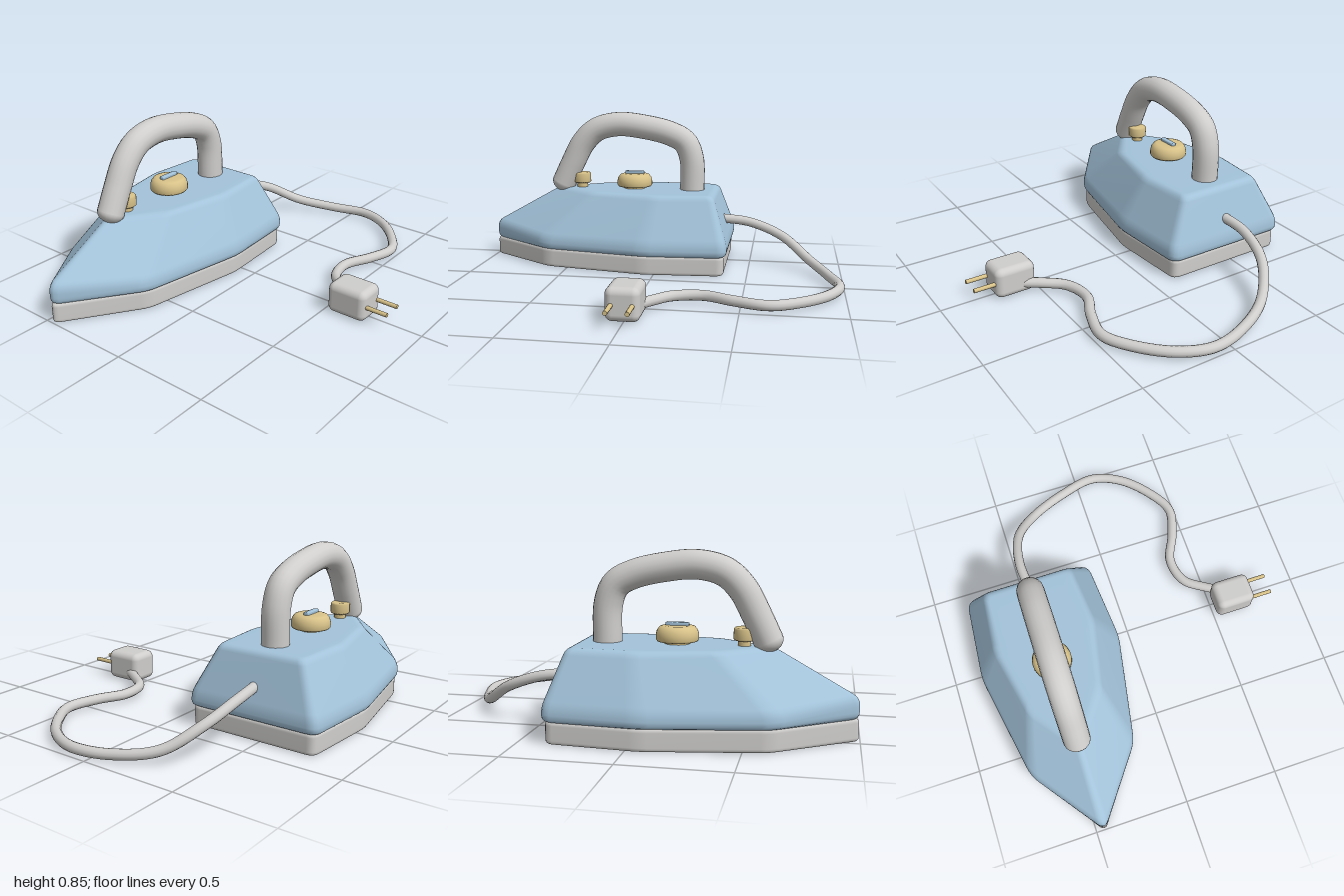
import * as THREE from 'three';
import { RoundedBoxGeometry } from 'three/addons/geometries/RoundedBoxGeometry.js';

const V = (x, y, z) => new THREE.Vector3(x, y, z);
const CX = -0.455; // centre line of the iron

const mat = (name, color) => {
  const m = new THREE.MeshStandardMaterial({ color });
  m.name = name;
  return m;
};

// Replace each corner of a 3D polyline by a short curve
function roundPath(pts, radius, closed, seg) {
  const out = [], n = pts.length;
  pts.forEach((p, i) => {
    if (!closed && (i === 0 || i === n - 1)) { out.push(p.clone()); return; }
    const toward = (q) => {
      const d = q.clone().sub(p);
      return d.setLength(Math.min(radius, d.length() * 0.45)).add(p);
    };
    const a = toward(pts[(i + n - 1) % n]), b = toward(pts[(i + 1) % n]);
    out.push(...new THREE.QuadraticBezierCurve3(a, p, b).getPoints(seg));
  });
  return out;
}

// Mirror a half outline [halfWidth, y, z] whose first point is the tip
function outline(half, radius) {
  const right = half.map(([x, y, z]) => V(x, y, z));
  const left = half.slice(1).reverse().map(([x, y, z]) => V(-x, y, z));
  return roundPath([...right, ...left], radius, true, 4);
}

// Skin matching outlines from bottom to top, with rounded edges and flat caps
function loft(rings, bevel) {
  const inset = (p) => V(p.x * 0.75, p.y, 0.15 + (p.z - 0.15) * 0.75);
  const columns = rings[0].map((_, i) => {
    const c = rings.map((r) => r[i]);
    return roundPath([inset(c[0]), ...c, inset(c[c.length - 1])], bevel, false, 4);
  });
  const n = columns.length, m = columns[0].length;
  const pos = [], idx = [];
  columns.forEach((c) => c.forEach((p) => pos.push(p.x, p.y, p.z)));
  const bottom = n * m, top = bottom + 1;
  pos.push(0, columns[0][0].y, 0.15, 0, columns[0][m - 1].y, 0.15);
  for (let i = 0; i < n; i++) {
    const a = i * m, b = ((i + 1) % n) * m;
    for (let j = 0; j < m - 1; j++) {
      idx.push(a + j, b + j, b + j + 1, a + j, b + j + 1, a + j + 1);
    }
    idx.push(bottom, b, a, top, a + m - 1, b + m - 1);
  }
  const g = new THREE.BufferGeometry();
  g.setAttribute('position', new THREE.Float32BufferAttribute(pos, 3));
  g.setIndex(idx);
  g.computeVertexNormals();
  return g;
}

export function createModel() {
  const model = new THREE.Group();
  const blue = mat('body blue', 0xa3c3da);
  const grey = mat('light grey', 0xcfcecc);
  const tan = mat('brass tan', 0xd8c289);

  const add = (name, geometry, material, x = 0, y = 0, z = 0, parent = model) => {
    const mesh = new THREE.Mesh(geometry, material);
    mesh.name = name;
    mesh.position.set(x, y, z);
    parent.add(mesh);
    return mesh;
  };

  // Sole plate
  const sole = (y) => outline(
    [[0, y, 1.01], [0.272, y, 0.62], [0.372, y, 0.06], [0.338, y, -0.375]], 0.04);
  add('solePlate', loft([sole(0.005), sole(0.108)], 0.018), grey, CX);

  // Faceted body: bottom rim, shoulder, top
  const rim = outline(
    [[0, 0.105, 1.015], [0.282, 0.105, 0.635], [0.388, 0.105, 0.06], [0.352, 0.105, -0.39]], 0.05);
  const shoulder = outline(
    [[0, 0.205, 1.015], [0.282, 0.17, 0.635], [0.388, 0.17, 0.06], [0.352, 0.17, -0.39]], 0.05);
  const topEdge = outline(
    [[0, 0.422, 0.62], [0.188, 0.422, 0.37], [0.262, 0.422, 0.01], [0.232, 0.422, -0.305]], 0.035);
  add('body', loft([rim, shoulder, topEdge], 0.035), blue, CX);

  // Handle with a rounded front foot
  const handlePath = new THREE.CatmullRomCurve3([
    V(0, 0.445, 0.585), V(0, 0.56, 0.53), V(0, 0.68, 0.465), V(0, 0.755, 0.385),
    V(0, 0.787, 0.26), V(0, 0.772, 0.1), V(0, 0.738, -0.04), V(0, 0.69, -0.125),
    V(0, 0.6, -0.163), V(0, 0.41, -0.168),
  ]);
  const handle = new THREE.Group();
  handle.name = 'handle';
  handle.position.x = CX;
  model.add(handle);
  add('handleBar', new THREE.TubeGeometry(handlePath, 48, 0.069, 18), grey, 0, 0, 0, handle);
  const foot = add('handleFoot', new THREE.SphereGeometry(0.069, 18, 12), grey, 0, 0.445, 0.585, handle);
  foot.scale.y = 0.75;
  foot.rotation.x = -0.45;

  // Temperature dial with its pointer, and the small button by the handle
  const dialProfile = [[0, 0], [0.094, 0], [0.1, 0.008], [0.1, 0.03], [0.095, 0.05],
    [0.083, 0.066], [0.065, 0.072], [0, 0.072]].map(([r, y]) => new THREE.Vector2(r, y));
  add('dial', new THREE.LatheGeometry(dialProfile, 32), tan, CX, 0.434, 0.165);
  add('dialStem', new THREE.CylinderGeometry(0.06, 0.06, 0.03, 20), tan, CX, 0.425, 0.165);
  add('dialPointer', new RoundedBoxGeometry(0.028, 0.03, 0.11, 2, 0.006), blue, CX, 0.506, 0.165);
  const buttonProfile = [[0, 0], [0.043, 0], [0.05, 0.007], [0.05, 0.052], [0.043, 0.06], [0, 0.06]]
    .map(([r, y]) => new THREE.Vector2(r, y));
  add('button', new THREE.LatheGeometry(buttonProfile, 24), tan, CX, 0.446, 0.475);
  add('buttonStem', new THREE.CylinderGeometry(0.03, 0.03, 0.08, 16), tan, CX, 0.415, 0.475);

  // Power cord
  const cordPath = new THREE.CatmullRomCurve3([
    V(CX, 0.262, -0.32), V(-0.465, 0.24, -0.5), V(-0.425, 0.175, -0.68), V(-0.3, 0.075, -0.83),
    V(-0.1, 0.04, -0.93), V(0.1, 0.04, -0.973), V(0.26, 0.04, -0.91), V(0.4, 0.04, -0.77),
    V(0.473, 0.042, -0.63), V(0.435, 0.045, -0.47), V(0.37, 0.045, -0.32), V(0.4, 0.045, -0.18),
    V(0.5, 0.05, -0.1), V(0.6, 0.055, -0.04),
  ]);
  add('cord', new THREE.TubeGeometry(cordPath, 90, 0.026, 12), grey);

  // Plug with two prongs
  add('plug', new RoundedBoxGeometry(0.213, 0.16, 0.163, 4, 0.035), grey, 0.622, 0.085, 0.006);
  for (const z of [-0.043, 0.055]) {
    const prong = add('prong', new THREE.CylinderGeometry(0.011, 0.011, 0.135, 12), tan, 0.772, 0.085, z);
    prong.rotation.z = Math.PI / 2;
  }

  return model;
}
